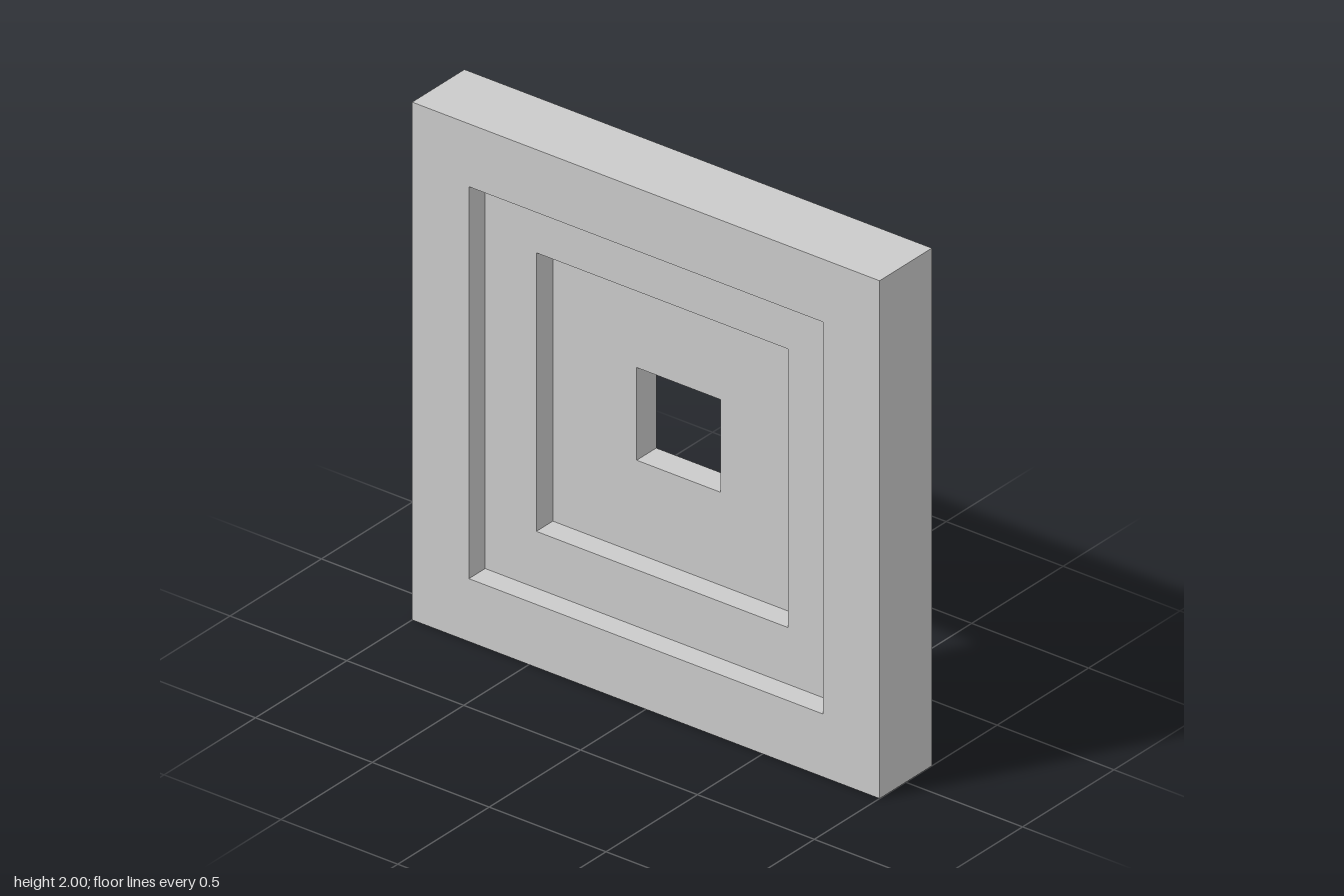
import * as THREE from 'three';

// Square ring: a closed profile of [half width, depth] swept round four sides
function squareRing(profile) {
  const points = profile.map(([half, z]) => new THREE.Vector2(half * Math.SQRT2, z));
  const geometry = new THREE.LatheGeometry(points, 4);
  geometry.rotateY(Math.PI / 4);
  geometry.rotateX(Math.PI / 2); // sweep axis to z
  const flat = geometry.toNonIndexed();
  flat.computeVertexNormals();
  return flat;
}

export function createModel() {
  const group = new THREE.Group();
  group.name = 'steppedPanel';

  const back = -0.143, front = 0.143;
  const floor1 = 0.054, floor2 = -0.036;      // recess floors
  const outer = 1, step1 = 0.757, step2 = 0.538, hole = 0.179; // half widths

  const profile = [
    [hole, back], [outer, back],    // back face
    [outer, front], [step1, front], // outer wall and front rim
    [step1, floor1], [step2, floor1], // first recess
    [step2, floor2], [hole, floor2],  // second recess
    [hole, back],                   // wall of the through hole
  ];

  const panel = new THREE.Mesh(
    squareRing(profile),
    new THREE.MeshStandardMaterial({ color: 0xcccccc, flatShading: true })
  );
  panel.name = 'recessedPanel';
  panel.position.y = 1;
  group.add(panel);
  return group;
}
